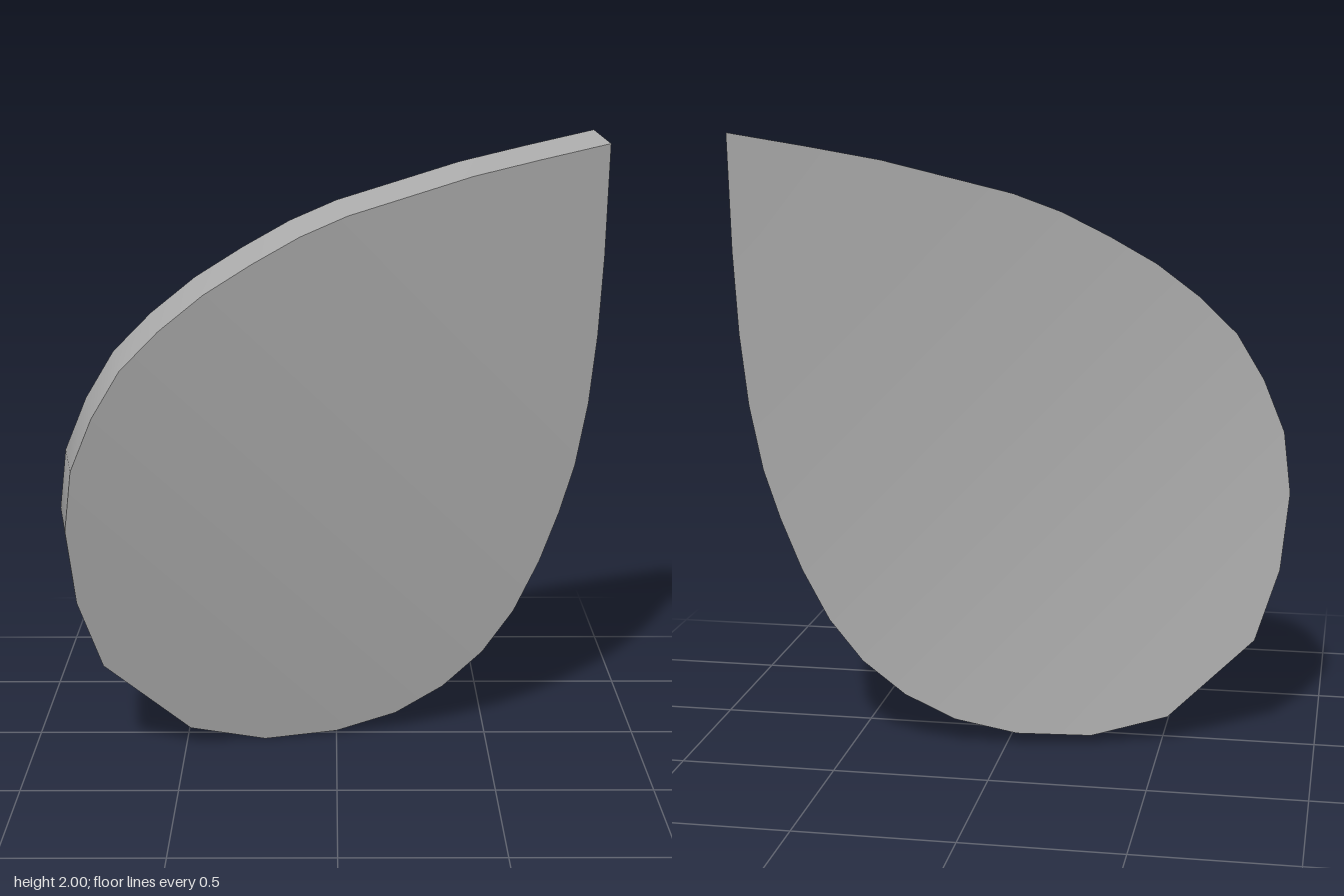
import * as THREE from 'three';
import { toCreasedNormals } from 'three/addons/utils/BufferGeometryUtils.js';

// Teardrop outline, counterclockwise from the pointed tip
const OUTLINE = [
  [0.89, 1.97], [0.655, 1.925], [0.435, 1.88], [0.235, 1.825], [0.035, 1.77],
  [-0.115, 1.71], [-0.265, 1.63], [-0.415, 1.54], [-0.555, 1.43], [-0.675, 1.31],
  [-0.765, 1.16], [-0.835, 0.99], [-0.86, 0.79], [-0.835, 0.54], [-0.76, 0.31],
  [-0.485, 0.06], [-0.24, 0], [0, 0.01], [0.2, 0.06], [0.36, 0.145],
  [0.495, 0.26], [0.6, 0.4], [0.685, 0.57], [0.75, 0.74], [0.8, 0.9],
  [0.84, 1.11], [0.865, 1.34], [0.88, 1.6],
];
const N = OUTLINE.length;
const DEPTH = [-0.035, 0.03, -0.18]; // step from front face to back face

// Gently twisted surface of the front face
const frontZ = (x, y) => 0.01 + 0.08 * y - 0.2 * x - 0.074 * x * y;

function buildGeometry(triangles) {
  const front = OUTLINE.map(([x, y]) => [x, y, frontZ(x, y)]);
  const back = front.map((p) => p.map((v, i) => v + DEPTH[i]));
  const geometry = new THREE.BufferGeometry();
  geometry.setAttribute('position', new THREE.Float32BufferAttribute([...front, ...back].flat(), 3));
  geometry.setIndex(triangles);
  return geometry;
}

// Face made of strips between the two flanks of the outline
function faceTriangles(isBack) {
  const out = [];
  const add = (a, b, c) => (isBack ? out.push(a + N, c + N, b + N) : out.push(a, b, c));
  const half = N / 2;
  add(0, 1, N - 1);
  for (let i = 1; i < half - 1; i++) {
    add(i, i + 1, N - i);
    add(i + 1, N - i - 1, N - i);
  }
  add(half - 1, half, half + 1);
  return out;
}

// Rim joining both faces
function rimTriangles() {
  const out = [];
  for (let i = 0; i < N; i++) {
    const j = (i + 1) % N;
    out.push(i, i + N, j, j, i + N, j + N);
  }
  return out;
}

export function createModel() {
  const group = new THREE.Group();
  group.name = 'teardropBlade';
  const grey = new THREE.MeshStandardMaterial({ color: 0xaaaaaa });
  grey.name = 'grey';

  const parts = {
    frontFace: faceTriangles(false),
    backFace: faceTriangles(true),
    rim: rimTriangles(),
  };
  for (const [name, triangles] of Object.entries(parts)) {
    const mesh = new THREE.Mesh(toCreasedNormals(buildGeometry(triangles), 0.44), grey);
    mesh.name = name;
    group.add(mesh);
  }
  return group;
}
